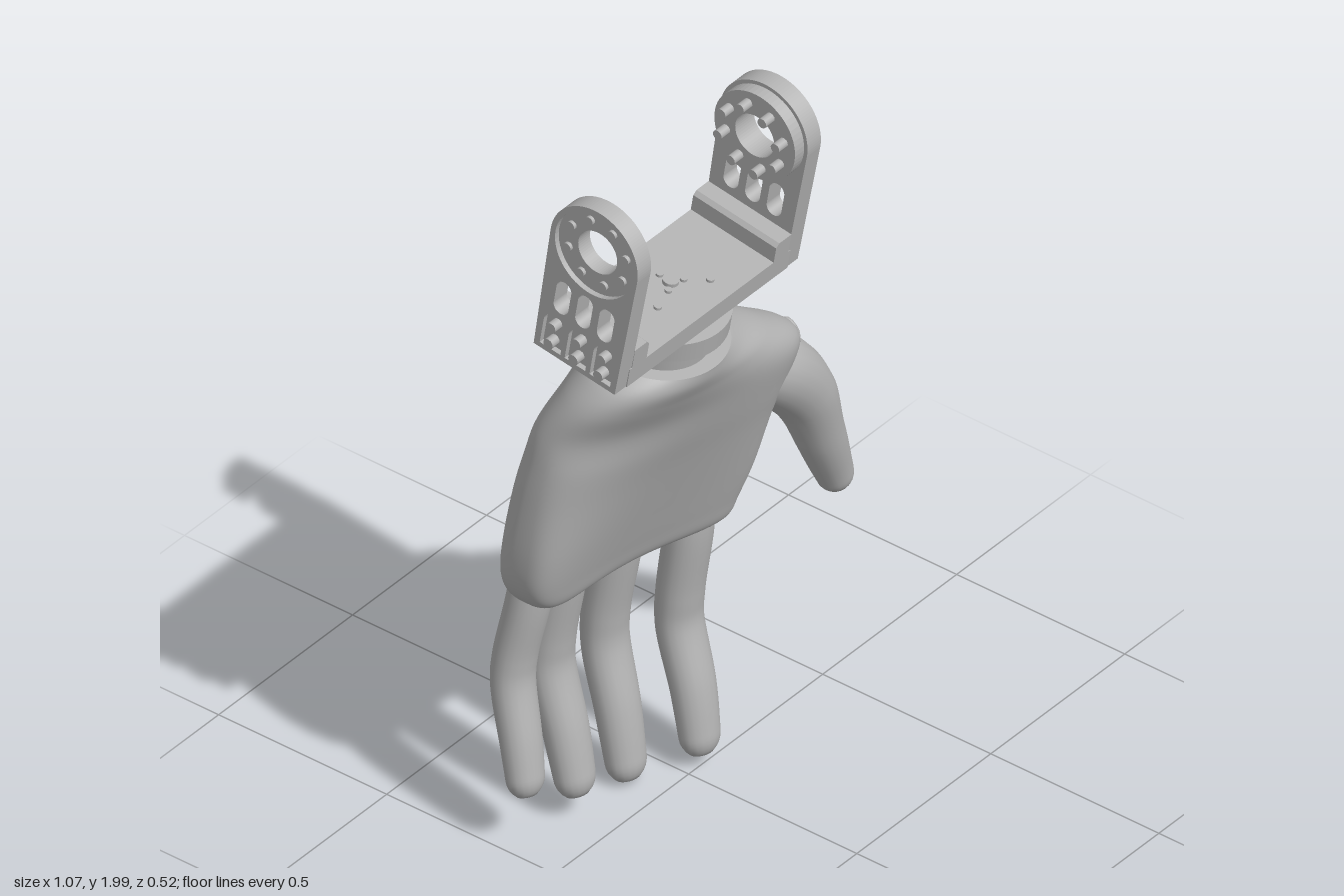
import * as THREE from 'three';
import { mergeVertices } from 'three/addons/utils/BufferGeometryUtils.js';

const grey = new THREE.MeshStandardMaterial({ color: 0xb2b2b2 });
grey.name = 'plain grey';

function add(parent, name, geometry, x = 0, y = 0, z = 0) {
  const mesh = new THREE.Mesh(geometry, grey);
  mesh.name = name;
  mesh.position.set(x, y, z);
  parent.add(mesh);
  return mesh;
}

// Catmull-Rom value through rows of numbers
function spline(rows, v, k) {
  const i = Math.min(Math.floor(v), rows.length - 2), f = v - i;
  const at = (j) => rows[Math.max(0, Math.min(rows.length - 1, j))][k];
  const [a, b, c, d] = [at(i - 1), at(i), at(i + 1), at(i + 2)];
  return b + 0.5 * f * (c - a + f * (2 * a - 5 * b + 4 * c - d + f * (3 * (b - c) + d - a)));
}

// Palm cross-sections: y, left x, right x, centre z, half depth, slope, bow, roundness
const palmRows = [
  [1.395, -0.33, 0.0, 0.055, 0.155, 0, 0, 2],
  [1.35, -0.385, 0.06, 0.05, 0.153, 0.05, 0, 2],
  [1.29, -0.425, 0.15, 0.035, 0.15, 0.13, 0, 2.1],
  [1.2, -0.45, 0.265, 0.01, 0.145, 0.2, 0, 2.2],
  [1.1, -0.465, 0.24, -0.015, 0.14, 0.21, 0.01, 2.4],
  [1.0, -0.475, 0.205, -0.042, 0.132, 0.21, 0.018, 2.6],
  [0.85, -0.484, 0.182, -0.078, 0.121, 0.19, 0.028, 2.9],
  [0.75, -0.475, 0.16, -0.102, 0.112, 0.18, 0.032, 3],
  [0.69, -0.44, 0.143, -0.112, 0.1, 0.18, 0.032, 3],
  [0.66, -0.375, 0.095, -0.122, 0.075, 0.17, 0.03, 2.8],
];

function palmPoint(t, v) {
  const [y, xl, xr, zc, depth, slope, bow, n] = palmRows[0].map((_, k) => spline(palmRows, v, k));
  const power = (s) => Math.sign(s) * Math.abs(s) ** (2 / n);
  const u = power(Math.cos(t)), half = (xr - xl) / 2;
  const dz = depth * power(Math.sin(t)) + slope * half * u;
  // the wrist end leans with the bracket
  const lean = 0.15 * Math.max(0, 1 - v / 2);
  return new THREE.Vector3((xl + xr) / 2 + half * u, y - lean * dz, zc + dz - bow * (1 - 2 * u * u));
}

function palmGeometry() {
  const around = 84, down = 54, pos = [], index = [];
  for (let j = 0; j <= down; j++)
    for (let i = 0; i < around; i++)
      pos.push(...palmPoint((i / around) * Math.PI * 2, (j / down) * (palmRows.length - 1)).toArray());
  const bottom = pos.length / 3;
  pos.push(-0.145, 0.655, -0.145);
  // separate ring keeps the wrist edge sharp
  const rim = bottom + 1;
  for (let i = 0; i < around; i++) pos.push(...pos.slice(i * 3, i * 3 + 3));
  const top = rim + around;
  pos.push(-0.165, 1.395, 0.055);
  for (let i = 0; i < around; i++) {
    const n = (i + 1) % around;
    for (let j = 0; j < down; j++) {
      const a = j * around + i, b = j * around + n;
      index.push(a, b, a + around, b, b + around, a + around);
    }
    index.push(bottom, down * around + i, down * around + n, top, rim + n, rim + i);
  }
  const g = new THREE.BufferGeometry();
  g.setAttribute('position', new THREE.Float32BufferAttribute(pos, 3));
  g.setIndex(index);
  g.computeVertexNormals();
  return g;
}

// Tapered tube with a rounded tip, thinned front to back; radii are spaced evenly along it
function digitGeometry(points, radii, thin) {
  const curve = new THREE.CatmullRomCurve3(points.map((p) => new THREE.Vector3(...p)));
  const seg = 72, sides = 20;
  const g = new THREE.TubeGeometry(curve, seg, 1, sides);
  const pos = g.attributes.position, p = new THREE.Vector3();
  const cap = (radii[radii.length - 1] * 1.1) / curve.getLength();
  const rows = radii.map((r) => [r]);
  for (let i = 0; i <= seg; i++) {
    const u = i / seg, c = curve.getPointAt(u);
    let r = spline(rows, u * (rows.length - 1), 0);
    const e = (u - 1 + cap) / cap;
    if (e > 0) r *= Math.sqrt(Math.max(0, 1 - e * e));
    for (let j = 0; j <= sides; j++) {
      const k = i * (sides + 1) + j;
      p.fromBufferAttribute(pos, k).sub(c).multiplyScalar(r);
      pos.setXYZ(k, c.x + p.x, c.y + p.y, c.z + p.z * thin);
    }
  }
  g.deleteAttribute('uv');
  g.deleteAttribute('normal');
  const merged = mergeVertices(g, 1e-5);
  merged.computeVertexNormals();
  return merged;
}

const circle = (x, y, r) => new THREE.Path().absarc(x, y, r, 0, Math.PI * 2, true);

function slot(x, low, high, r, flatBottom) {
  const path = new THREE.Path();
  path.absarc(x, high - r, r, 0, Math.PI, false);
  if (flatBottom) path.lineTo(x - r, low).lineTo(x + r, low);
  else path.absarc(x, low + r, r, Math.PI, Math.PI * 2, false);
  path.closePath();
  return path;
}

// Extrude a shape along +x, starting at x = 0
function alongX(shape, depth) {
  return new THREE.ExtrudeGeometry(shape, { depth, bevelEnabled: false, curveSegments: 28 }).rotateY(Math.PI / 2);
}
const pin = (r, length) => new THREE.CylinderGeometry(r, r, length, 12).rotateZ(Math.PI / 2);

const EYE = 0.36; // height of the bearing hole

function armShape(bore, pockets) {
  const s = new THREE.Shape();
  s.moveTo(-0.122, 0);
  s.lineTo(0.122, 0);
  s.lineTo(0.13, EYE);
  s.absarc(0, EYE, 0.13, 0, Math.PI, false);
  s.closePath();
  s.holes.push(circle(0, EYE, bore));
  for (const k of [-1, 0, 1]) {
    s.holes.push(slot(k * 0.065, 0.132, 0.228, 0.022, false));
    if (pockets) s.holes.push(slot(k * 0.075, 0.014, 0.118, 0.031, true));
  }
  return s;
}

function ringShape(outer, inner) {
  const s = new THREE.Shape().absarc(0, EYE, outer, 0, Math.PI * 2, false);
  s.holes.push(circle(0, EYE, inner));
  return s;
}

function buildBracket() {
  const g = new THREE.Group();
  g.name = 'wristBracket';
  add(g, 'neck', new THREE.CylinderGeometry(0.12, 0.12, 0.13, 48), 0.005, -0.11, -0.002);
  add(g, 'flange', new THREE.CylinderGeometry(0.157, 0.157, 0.053, 48), 0.005, -0.0265, -0.002);
  add(g, 'basePlate', new THREE.BoxGeometry(0.6, 0.055, 0.25), 0, 0.0275, 0);

  for (const side of [-1, 1]) {
    const arm = new THREE.Group();
    arm.name = side > 0 ? 'leftArm' : 'rightArm';
    g.add(arm);
    const slab = (name, shape, from, to) =>
      add(arm, name, alongX(shape, to - from), side > 0 ? from : -to);
    slab('armPlate', armShape(0.058, false), 0.292, 0.328);
    slab('armFace', armShape(0.116, true), 0.328, 0.342);
    const bossStart = side > 0 ? 0.258 : 0.284;
    slab('bearingBoss', ringShape(0.12, 0.058), bossStart, 0.292);

    // stepped block in the corner, with a sloping inner edge
    const foot = new THREE.Shape();
    foot.moveTo(0.292, 0.05);
    foot.lineTo(0.292, 0.11);
    foot.lineTo(0.247, 0.11);
    foot.lineTo(0.237, 0.1);
    foot.lineTo(0.237, 0.05);
    const footGeo = new THREE.ExtrudeGeometry(foot, { depth: 0.25, bevelEnabled: false }).translate(0, 0, -0.125);
    if (side < 0) footGeo.rotateY(Math.PI);
    add(arm, 'cornerBlock', footGeo);

    // screws in the pockets and around the bearing
    const out = side > 0 ? 0.341 : 0.354;
    for (const k of [-1, 0, 1])
      for (const h of [0.035, 0.085])
        add(arm, 'pocketScrew', pin(0.014, out - 0.32), (side * (out + 0.32)) / 2, h, k * 0.075);
    for (let i = 0; i < 8; i++) {
      const a = ((i + 0.5) / 8) * Math.PI * 2, h = EYE + 0.088 * Math.sin(a), z = 0.088 * Math.cos(a);
      add(arm, 'bearingScrew', pin(0.012, 0.012), side * 0.331, h, z);
      if (side > 0) add(arm, 'bearingPin', pin(0.013, 0.04), 0.246, h, z);
    }
  }

  // fasteners on the base plate
  const stud = (x, z, r, h) => add(g, 'baseStud', new THREE.CylinderGeometry(r, r, h, 16), x, 0.055 + h / 2, z);
  stud(0.006, 0, 0.02, 0.01);
  for (let i = 0; i < 3; i++) {
    const a = Math.PI / 6 + (i * Math.PI * 2) / 3;
    stud(0.006 + 0.033 * Math.cos(a), 0.033 * Math.sin(a), 0.009, 0.007);
  }
  for (const [x, z] of [[-0.07, -0.06], [-0.085, 0.035], [0.02, -0.09], [0.08, 0.06]]) stud(x, z, 0.01, 0.007);

  g.position.set(-0.18, 1.51, 0.075);
  g.rotation.x = 0.165;
  return g;
}

function buildHand() {
  const g = new THREE.Group();
  g.name = 'hand';
  add(g, 'palm', palmGeometry());

  // raised edge arching over the thumb root
  const arch = [[0.25, 5], [0.3, 4], [0.22, 3.25], [0, 2.95], [-0.18, 3.4], [-0.25, 4.3], [-0.16, 5.5], [-0.06, 7], [0, 8]];
  const edge = new THREE.CatmullRomCurve3(arch.map(([t, v]) => palmPoint(t, v)));
  add(g, 'thumbOpeningEdge', new THREE.TubeGeometry(edge, 60, 0.007, 8));

  add(g, 'thumb', digitGeometry(
    [[0.12, 1.14, 0.05], [0.23, 1.075, 0.065], [0.337, 0.95, 0.068], [0.413, 0.78, 0.06], [0.463, 0.67, 0.05], [0.505, 0.572, 0.045]],
    [0.085, 0.092, 0.083, 0.068, 0.057, 0.044], 0.95));

  const radii = [0.062, 0.066, 0.065, 0.064, 0.06, 0.053];
  const fingers = [
    ['indexFinger', 1, [[0.085, 0.8, -0.06], [0.085, 0.65, -0.066], [0.08, 0.46, -0.088], [0.078, 0.37, -0.09], [0.065, 0.2, -0.038], [0.05, 0.028, 0.0]]],
    ['middleFinger', 1, [[-0.068, 0.8, -0.14], [-0.07, 0.65, -0.155], [-0.078, 0.45, -0.184], [-0.081, 0.36, -0.184], [-0.095, 0.19, -0.135], [-0.108, 0.003, -0.092]]],
    ['ringFinger', 1, [[-0.253, 0.8, -0.155], [-0.256, 0.65, -0.173], [-0.263, 0.47, -0.198], [-0.266, 0.39, -0.198], [-0.275, 0.22, -0.145], [-0.286, 0.055, -0.1]]],
    ['littleFinger', 0.93, [[-0.375, 0.8, -0.15], [-0.388, 0.65, -0.168], [-0.406, 0.5, -0.192], [-0.415, 0.43, -0.192], [-0.437, 0.28, -0.15], [-0.458, 0.145, -0.115]]],
  ];
  for (const [name, scale, path] of fingers) add(g, name, digitGeometry(path, radii.map((r) => r * scale), 0.84));
  return g;
}

export function createModel() {
  const model = new THREE.Group();
  model.name = 'mechanicalHand';
  model.add(buildHand(), buildBracket());
  return model;
}
